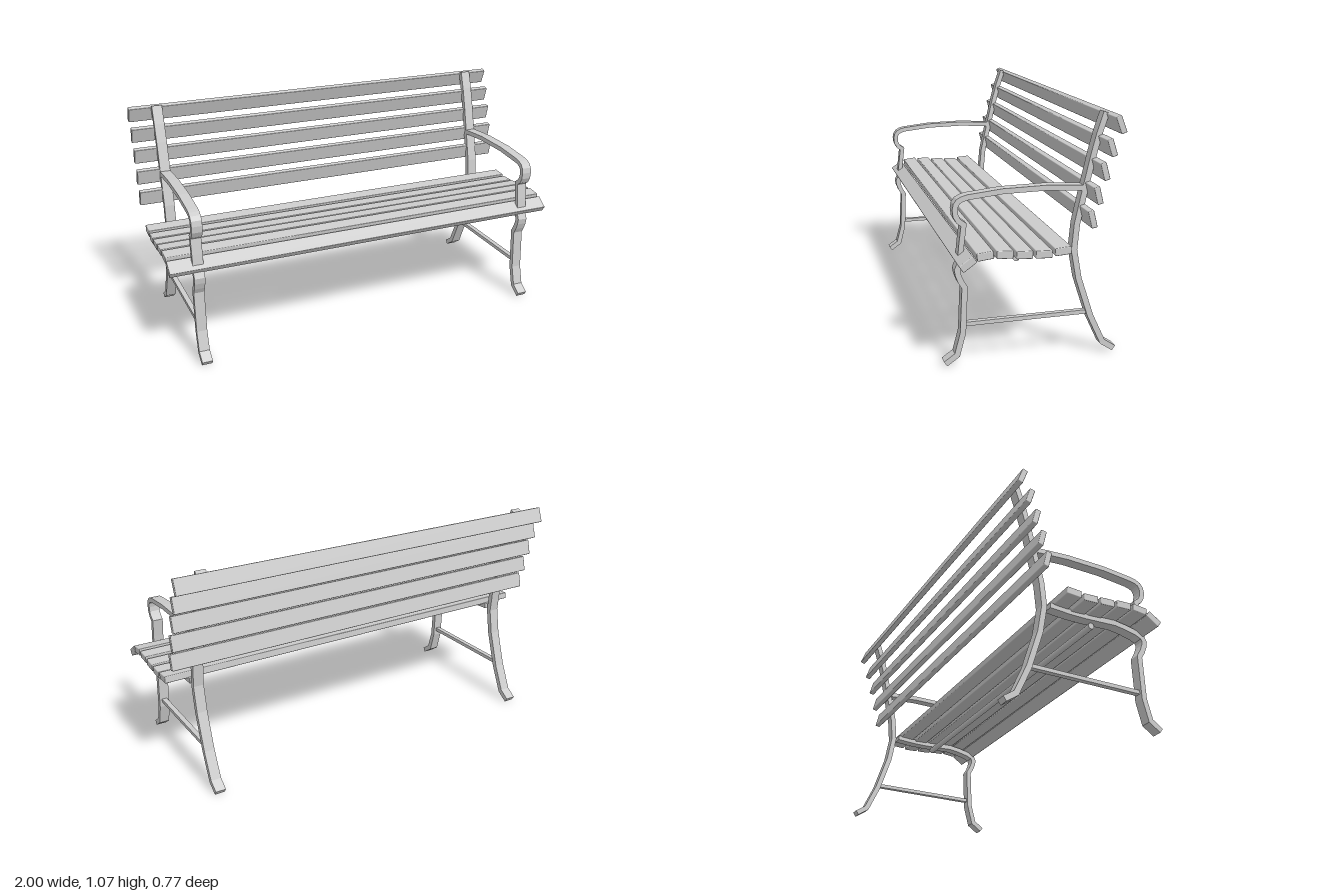
import * as THREE from 'three';
import { RoundedBoxGeometry } from 'three/addons/geometries/RoundedBoxGeometry.js';

const grey = new THREE.MeshStandardMaterial({ color: 0xcccccc });
grey.name = 'light grey';

// Flat bar of even thickness following a side profile of [z, y] points, mitred at the bends
function bar(name, path, thickness, width) {
  const pts = path.map(([z, y]) => new THREE.Vector2(z, y));
  const left = [], right = [];
  pts.forEach((p, i) => {
    const before = p.clone().sub(pts[Math.max(i - 1, 0)]).normalize();
    const after = pts[Math.min(i + 1, pts.length - 1)].clone().sub(p).normalize();
    const dir = before.clone().add(after).normalize();
    const ref = i ? before : after;
    const offset = new THREE.Vector2(-dir.y, dir.x).multiplyScalar(thickness / 2 / dir.dot(ref));
    left.push(p.clone().add(offset));
    right.unshift(p.clone().sub(offset));
  });
  const geo = new THREE.ExtrudeGeometry(new THREE.Shape([...left, ...right]), { depth: width, bevelEnabled: false });
  geo.translate(0, 0, -width / 2).rotateY(-Math.PI / 2);
  const mesh = new THREE.Mesh(geo, grey);
  mesh.name = name;
  return mesh;
}

// Full-width slat, tipped about its long axis
function slat(name, [z, y, degrees], height, depth) {
  const mesh = new THREE.Mesh(new RoundedBoxGeometry(2, height, depth, 2, 0.004), grey);
  mesh.name = name;
  mesh.position.set(0, y, z);
  mesh.rotation.x = THREE.MathUtils.degToRad(degrees);
  return mesh;
}

const backPost = [[-0.314, 1.07], [-0.286, 0.985], [-0.263, 0.898], [-0.228, 0.745], [-0.195, 0.593],
  [-0.185, 0.479], [-0.208, 0.351], [-0.266, 0.175], [-0.326, 0.047], [-0.379, 0.012]];
const frontLegAndSeatRail = [[0.38, 0.012], [0.329, 0.048], [0.303, 0.147], [0.295, 0.348], [0.312, 0.377],
  [0.323, 0.405], [0.327, 0.428], [0.318, 0.448], [0.286, 0.463], [0.23, 0.477], [0.175, 0.486],
  [0.02, 0.482], [-0.06, 0.484], [-0.155, 0.492]];
const armrest = [[0.316, 0.455], [0.308, 0.54], [0.298, 0.622], [0.32, 0.638], [0.332, 0.66], [0.335, 0.687],
  [0.331, 0.708], [0.32, 0.723], [0.303, 0.732], [0.28, 0.738], [0.132, 0.755], [-0.055, 0.76], [-0.225, 0.751]];

// Tilted slat positions: z, y, degrees
const seatSlats = [[0.304, 0.485, 36], [0.232, 0.515, 7], [0.149, 0.515, -2],
  [0.065, 0.508, -2], [-0.018, 0.505, -1], [-0.101, 0.513, 5]];
const backSlats = [[-0.339, 1.033, 21], [-0.303, 0.939, 18], [-0.275, 0.841, 15],
  [-0.249, 0.741, 14], [-0.226, 0.641, 14]];

export function createModel() {
  const bench = new THREE.Group();
  bench.name = 'bench';

  // End frames, one per side
  for (const [side, x] of [['left', 0.865], ['right', -0.865]]) {
    const frame = new THREE.Group();
    frame.name = side + 'Frame';
    frame.position.x = x;
    frame.add(
      bar('backPost', backPost, 0.026, 0.05),
      bar('frontLegAndSeatRail', frontLegAndSeatRail, 0.025, 0.05),
      bar('armrest', armrest, 0.023, 0.05),
      bar('stretcher', [[0.3, 0.18], [-0.26, 0.19]], 0.018, 0.025),
    );
    bench.add(frame);
  }

  // Slats
  seatSlats.forEach((s, i) => bench.add(slat('seatSlat' + (i + 1), s, 0.034, 0.071)));
  backSlats.forEach((s, i) => bench.add(slat('backSlat' + (i + 1), s, 0.076, 0.026)));

  // Round tie rod under the seat
  const rod = new THREE.Mesh(new THREE.CylinderGeometry(0.015, 0.015, 1.73, 16), grey);
  rod.name = 'tieRod';
  rod.rotation.z = Math.PI / 2;
  rod.position.set(0, 0.456, 0.065);
  bench.add(rod);

  return bench;
}
